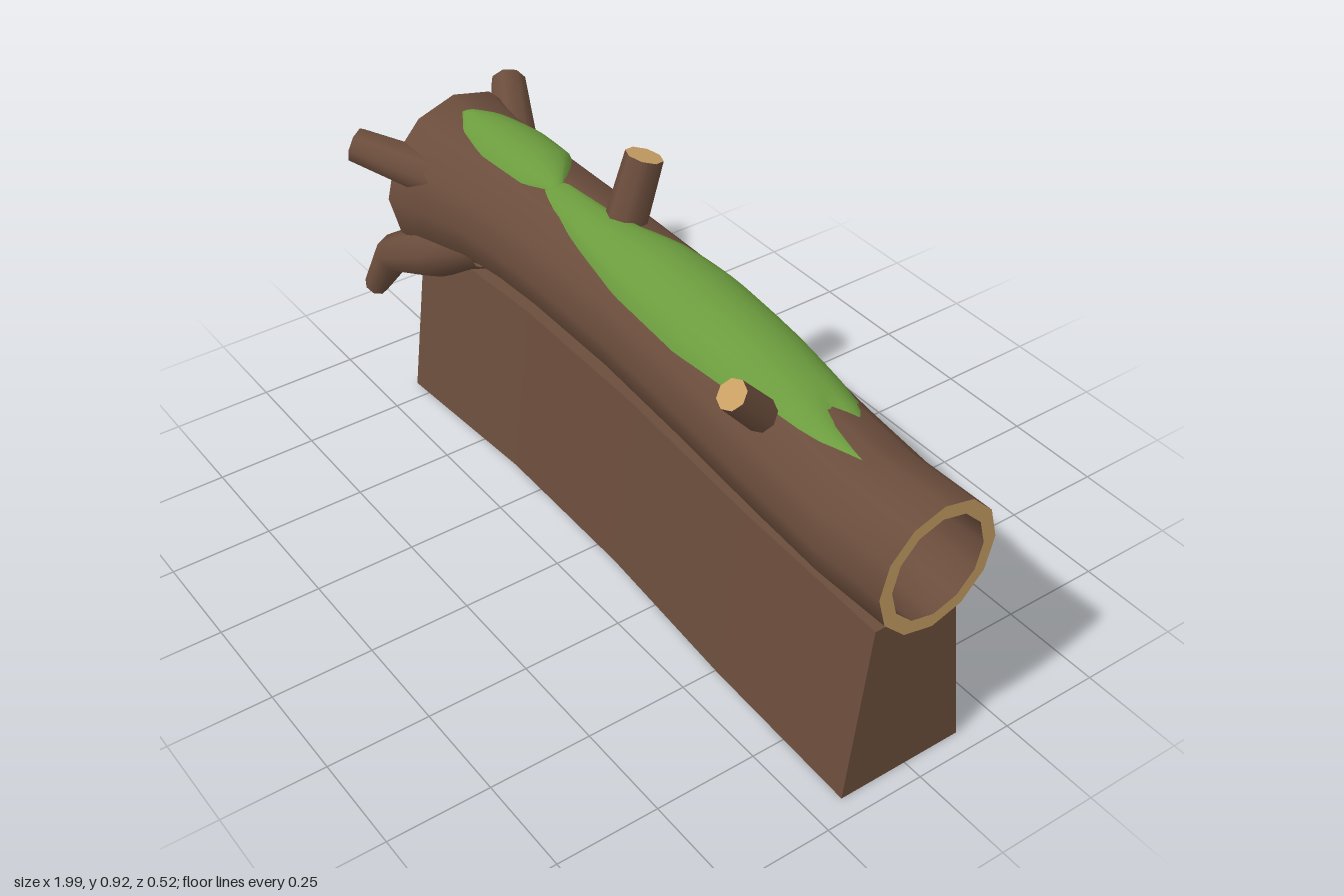
import * as THREE from 'three';

const mat = (name, color) => Object.assign(new THREE.MeshStandardMaterial({ color }), { name });
const V = (x, y, z) => new THREE.Vector3(x, y, z);

// Log stations: x, centre y, centre z, radius
const LOG = [
  [-0.81, 0.59, -0.012, 0.213], [-0.72, 0.592, -0.019, 0.193], [-0.6, 0.596, -0.034, 0.176],
  [-0.45, 0.598, -0.042, 0.169], [-0.3, 0.6, -0.045, 0.167], [0, 0.6, -0.043, 0.167],
  [0.3, 0.597, -0.024, 0.164], [0.6, 0.59, 0, 0.158], [0.8, 0.586, 0.012, 0.155], [0.99, 0.585, 0.006, 0.155],
];

// Linear lookup in a table of rows sorted by their first value
function sample(table, x, col = 1) {
  let i = 0;
  while (i < table.length - 2 && x > table[i + 1][0]) i++;
  const [a, b] = [table[i], table[i + 1]];
  const t = THREE.MathUtils.clamp((x - a[0]) / (b[0] - a[0]), 0, 1);
  return a[col] + (b[col] - a[col]) * t;
}

function build(pos, idx) {
  const g = new THREE.BufferGeometry();
  g.setAttribute('position', new THREE.Float32BufferAttribute(pos, 3));
  g.setIndex(idx);
  g.computeVertexNormals();
  return g;
}

// Round loft along sections [x, y, z, radius]; returns side and end-cap geometry
function loft(sections, sides, inward = false) {
  const pts = sections.map((s) => V(s[0], s[1], s[2]));
  const pos = [], idx = [], last = pts.length - 1;
  pts.forEach((p, i) => {
    const t = pts[Math.min(i + 1, last)].clone().sub(pts[Math.max(i - 1, 0)]).normalize();
    const b = V(0, 0, 1).addScaledVector(t, -t.z).normalize();
    const n = b.clone().cross(t);
    for (let j = 0; j < sides; j++) {
      const a = (j / sides) * Math.PI * 2, r = sections[i][3];
      pos.push(...p.clone().addScaledVector(n, r * Math.cos(a)).addScaledVector(b, r * Math.sin(a)));
      if (i === last) continue;
      const k = i * sides + j, m = i * sides + ((j + 1) % sides);
      if (inward) idx.push(k, k + sides, m, m, k + sides, m + sides);
      else idx.push(k, m, k + sides, m, m + sides, k + sides);
    }
  });
  const capPos = [...pts[last], ...pos.slice(last * sides * 3)], capIdx = [];
  for (let j = 0; j < sides; j++) {
    const k = 1 + j, m = 1 + ((j + 1) % sides);
    capIdx.push(...(inward ? [0, m, k] : [0, k, m]));
  }
  return { side: build(pos, idx), cap: build(capPos, capIdx) };
}

export function createModel() {
  const model = new THREE.Group();
  model.name = 'hollowLog';
  const bark = mat('bark', 0x6b4d3c), cut = mat('cutWood', 0xc89f64), moss = mat('moss', 0x6c9c3e);
  const add = (name, geo, material) => {
    const m = new THREE.Mesh(geo, material);
    m.name = name;
    model.add(m);
    return m;
  };

  // Trunk
  add('trunk', loft(LOG, 12).side, bark);

  // Hollow end: cut rim and rounded bore
  const rim = new THREE.RingGeometry(0.122, 0.155, 12).rotateY(Math.PI / 2 + 0.032).translate(0.99, 0.585, 0.006);
  add('cutRim', rim, cut);
  const bore = loft([
    [0.99, 0.585, 0.006, 0.122], [0.88, 0.585, 0.009, 0.116], [0.78, 0.586, 0.011, 0.098],
    [0.71, 0.587, 0.009, 0.065], [0.68, 0.588, 0.007, 0.01],
  ], 12, true);
  add('bore', bore.side, bark);
  add('boreEnd', bore.cap, bark);

  // Closed root end with a raised disc
  const butt = loft([[-0.806, 0.59, -0.012, 0.212], [-0.815, 0.59, -0.011, 0.18], [-0.845, 0.59, -0.009, 0.165]], 12);
  add('buttEdge', butt.side.toNonIndexed(), cut).geometry.computeVertexNormals();
  add('buttFace', butt.cap, cut);

  // Broken branch stubs with cut tips
  function stub(name, from, to, rBase, rTip) {
    const dir = to.clone().sub(from);
    const geo = new THREE.CylinderGeometry(rTip, rBase, dir.length(), 8);
    const m = add(name, geo, [bark, cut, bark]);
    m.position.copy(from).addScaledVector(dir, 0.5);
    m.quaternion.setFromUnitVectors(V(0, 1, 0), dir.normalize());
  }
  stub('topBranch', V(-0.166, 0.68, -0.045), V(-0.16, 0.91, -0.118), 0.052, 0.045);
  stub('frontBranch', V(0.54, 0.695, 0.075), V(0.545, 0.805, 0.175), 0.039, 0.036);
  stub('upperRootLeft', V(-0.68, 0.65, 0.075), V(-0.9, 0.7, 0.22), 0.062, 0.045);
  stub('upperRootRight', V(-0.68, 0.66, -0.1), V(-0.9, 0.735, -0.222), 0.062, 0.045);

  // Bent lower roots, one on each side
  for (const s of [1, -1]) {
    const root = loft([
      [-0.6, 0.505, s * 0.055, 0.06], [-0.74, 0.44, s * 0.115, 0.073],
      [-0.89, 0.36, s * 0.147, 0.051], [-0.97, 0.228, s * 0.165, 0.032],
    ], 8);
    const name = s > 0 ? 'lowerRootLeft' : 'lowerRootRight';
    add(name, root.side, bark);
    add(name + 'Tip', root.cap, bark);
  }

  // Supporting base: tapered block bent to follow the trunk
  const base = new THREE.BoxGeometry(1.755, 0.445, 1, 4, 1, 1).translate(0.0725, 0.2225, 0);
  const p = base.attributes.position;
  for (let i = 0; i < p.count; i++) {
    const half = p.getY(i) > 0.1 ? 0.106 : 0.16;
    const mid = sample(LOG, p.getX(i), 2) * 0.85 + 0.007;
    p.setZ(i, mid + Math.sign(p.getZ(i)) * half);
  }
  const flatBase = base.toNonIndexed();
  flatBase.computeVertexNormals();
  add('base', flatBase, bark);

  // Moss patches draped over the trunk, with ragged ends
  function mossPatch(name, start, ends, front, back, lift) {
    const nu = 32, nv = 10, pos = [], idx = [];
    for (let i = 0; i <= nu; i++) {
      for (let j = 0; j <= nv; j++) {
        const u = i / nu, v = j / nv;
        const x = start + (sample(ends, v) - start) * u;
        const cy = sample(LOG, x, 1), cz = sample(LOG, x, 2), r = sample(LOG, x, 3);
        const angle = (z) => Math.asin(THREE.MathUtils.clamp((z - cz) / r, -0.97, 0.97));
        const a = THREE.MathUtils.lerp(angle(sample(front, x)), angle(sample(back, x)), v);
        const h = r - 0.004 + lift * Math.sqrt(Math.sin(Math.PI * v) * Math.sin(Math.PI * u) + 1e-9);
        pos.push(x, cy + h * Math.cos(a), cz + h * Math.sin(a));
        if (i < nu && j < nv) {
          const k = i * (nv + 1) + j, m = k + nv + 1;
          idx.push(k, m, k + 1, k + 1, m, m + 1);
        }
      }
    }
    add(name, build(pos, idx), moss);
  }
  mossPatch('largeMoss', -0.38, [[0, 0.79], [0.35, 0.67], [0.5, 0.63], [0.75, 0.69], [1, 0.6]],
    [[-0.38, 0.01], [-0.3, 0.04], [-0.15, 0.066], [0, 0.086], [0.25, 0.101], [0.5, 0.095], [0.65, 0.077], [0.79, 0.04]],
    [[-0.38, -0.045], [-0.2, -0.058], [-0.1, -0.08], [0, -0.128], [0.15, -0.169], [0.4, -0.16], [0.55, -0.13], [0.69, -0.09]], 0.022);
  mossPatch('smallMoss', -0.755, [[0, -0.36], [1, -0.36]],
    [[-0.755, 0], [-0.7, 0.034], [-0.6, 0.046], [-0.45, 0.034], [-0.36, 0]],
    [[-0.755, -0.015], [-0.7, -0.085], [-0.6, -0.137], [-0.48, -0.14], [-0.42, -0.09], [-0.36, -0.03]], 0.028);

  return model;
}
